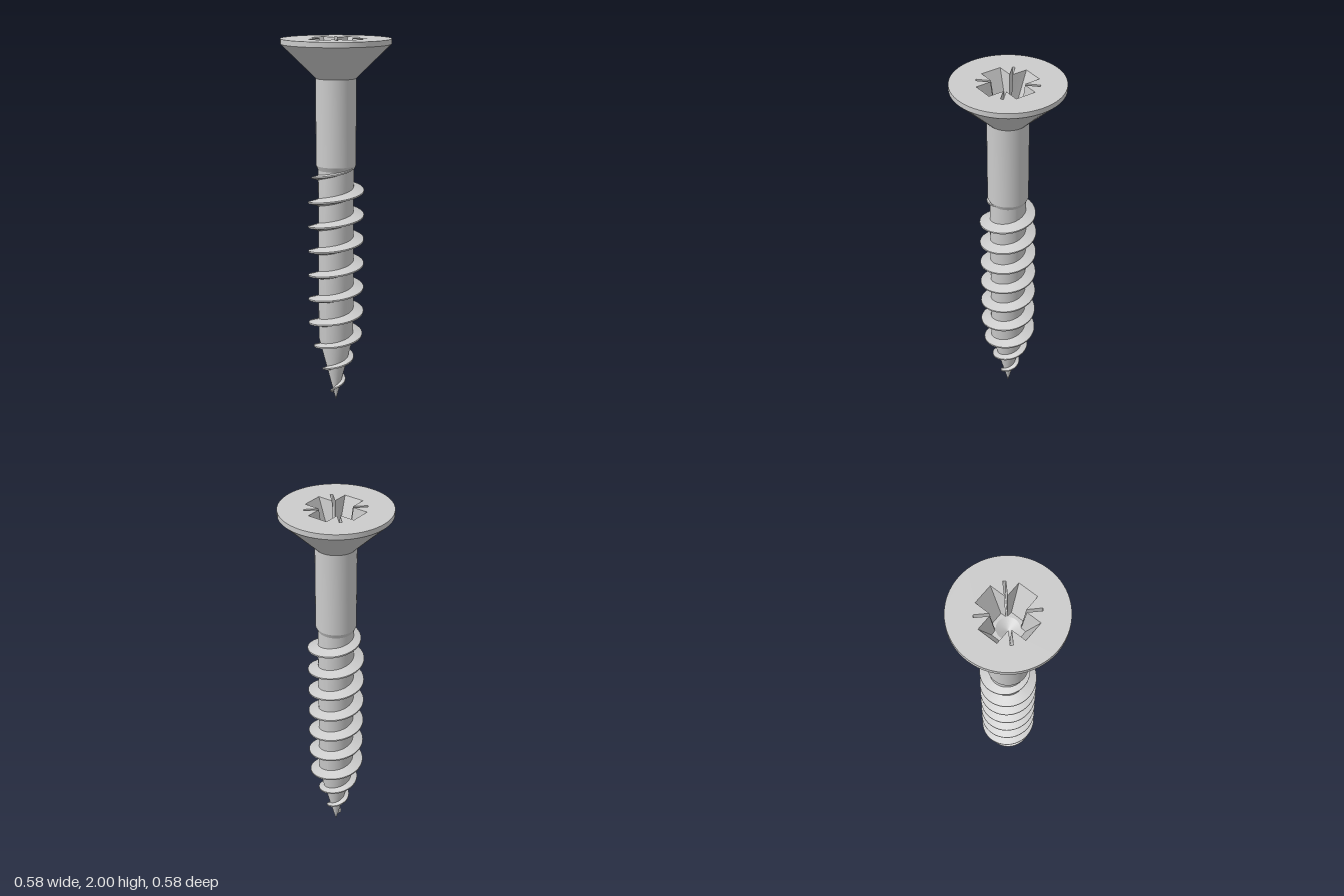
import * as THREE from 'three';
import { toCreasedNormals } from 'three/addons/utils/BufferGeometryUtils.js';

const material = new THREE.MeshStandardMaterial({ color: 0xcccccc });
const TOP = 2;

function addMesh(group, name, geometry) {
  const mesh = new THREE.Mesh(geometry, material);
  mesh.name = name;
  group.add(mesh);
}

function lathe(profile, segments = 64) {
  const points = profile.map(([r, y]) => new THREE.Vector2(r, y));
  return toCreasedNormals(new THREE.LatheGeometry(points, segments), 0.3);
}

function indexed(positions, indices) {
  const geometry = new THREE.BufferGeometry();
  geometry.setAttribute('position', new THREE.Float32BufferAttribute(positions, 3));
  geometry.setIndex(indices);
  return geometry;
}

// Repeats a quarter outline four times around the axis; entries are [x, z, depth]
function fourfold(quarter) {
  const out = [];
  for (let k = 0; k < 4; k++) {
    const c = [1, 0, -1, 0][k], s = [0, 1, 0, -1][k];
    for (const [x, z, d] of quarter) out.push([c * x - s * z, s * x + c * z, d]);
  }
  return out;
}

// Helical ridge: a trapezoid section swept upward, fading out at both ends
function threadGeometry() {
  const pitch = 0.135, yStart = 0.05, yEnd = 1.335, perTurn = 48;
  const steps = Math.round(((yEnd - yStart) / pitch) * perTurn);
  const positions = [], indices = [];
  for (let i = 0; i <= steps; i++) {
    const y = yStart + ((yEnd - yStart) * i) / steps;
    const a = ((y - 1.215) / pitch) * Math.PI * 2;
    const core = Math.min(0.095, y * 0.257);
    const fade = THREE.MathUtils.clamp((yEnd - y) / 0.11, 0, 1);
    const crest = core + (Math.min(0.15, 0.012 + y * 0.34) - core) * fade;
    const root = core * 0.92;
    const half = 0.004 + (crest - core) * 0.36;
    const section = [[root, -half], [crest, -0.004], [crest, 0.004], [root, half]];
    for (const [r, dy] of section) positions.push(r * Math.cos(a), y + dy, -r * Math.sin(a));
    if (i === steps) continue;
    for (let j = 0; j < 3; j++) {
      const p = i * 4 + j;
      indices.push(p, p + 4, p + 1, p + 1, p + 4, p + 5);
    }
  }
  // End caps
  const e = steps * 4;
  indices.push(0, 1, 2, 0, 2, 3, e, e + 2, e + 1, e, e + 3, e + 2);
  return toCreasedNormals(indexed(positions, indices), 0.5);
}

// Recess outlines at the head face and at its floor: wide arm, then thin diagonal slot
const DEPTH = 0.18, PIT = 0.058;
const rim = fourfold([
  [0.148, -0.055, 0], [0.148, 0.055, 0], [0.065, 0.055, 0],
  [0.118, 0.108, 0], [0.108, 0.118, 0], [0.055, 0.065, 0],
]);
const floor = fourfold([
  [0.074, -0.039, DEPTH], [0.074, 0.039, DEPTH], [0.046, 0.041, DEPTH],
  [0.108, 0.103, 0.12], [0.103, 0.108, 0.12], [0.041, 0.046, DEPTH],
]);

function recessWalls() {
  const n = rim.length, positions = [], indices = [];
  for (const [x, z, d] of [...rim, ...floor]) positions.push(x, TOP - d, z);
  for (let i = 0; i < n; i++) {
    const j = (i + 1) % n;
    indices.push(i, n + i, j, j, n + i, n + j);
  }
  return toCreasedNormals(indexed(positions, indices), 0.1);
}

// Surface between an outline and a hole, facing up
function upwardSheet(outer, hole) {
  const toV2 = ([x, z]) => new THREE.Vector2(x, z);
  const faces = THREE.ShapeUtils.triangulateShape(outer.map(toV2), [hole.map(toV2)]);
  const all = [...outer, ...hole];
  const positions = all.flatMap(([x, z, d]) => [x, TOP - d, z]);
  const indices = [];
  for (const [a, b, c] of faces) {
    const [A, B, C] = [all[a], all[b], all[c]];
    const area = (B[0] - A[0]) * (C[1] - A[1]) - (B[1] - A[1]) * (C[0] - A[0]);
    indices.push(a, ...(area > 0 ? [c, b] : [b, c]));
  }
  return toCreasedNormals(indexed(positions, indices), 0.1);
}

function circle(radius, depth, count) {
  return Array.from({ length: count }, (_, i) => {
    const a = (i * Math.PI * 2) / count;
    return [radius * Math.cos(a), radius * Math.sin(a), depth];
  });
}

export function createModel() {
  const group = new THREE.Group();
  group.name = 'woodScrew';

  // Shaft: pointed tip, threaded core, plain shank
  addMesh(group, 'shaft', lathe([
    [0, 0], [0.095, 0.37], [0.095, 1.31], [0.107, 1.335], [0.107, 1.795],
  ]));
  addMesh(group, 'thread', threadGeometry());

  // Countersunk head with a thin rim
  addMesh(group, 'countersunkHead', lathe([[0.107, 1.795], [0.29, 1.973], [0.29, TOP]]));
  addMesh(group, 'headFace', upwardSheet(circle(0.29, 0, 64), rim));

  // Cross-shaped driver recess with a conical pit at the centre
  addMesh(group, 'recessWalls', recessWalls());
  addMesh(group, 'recessFloor', upwardSheet(floor, circle(PIT, DEPTH, 32)));
  addMesh(group, 'recessPit', lathe([[PIT, TOP - DEPTH], [0, TOP - DEPTH - 0.035]], 32));

  return group;
}
